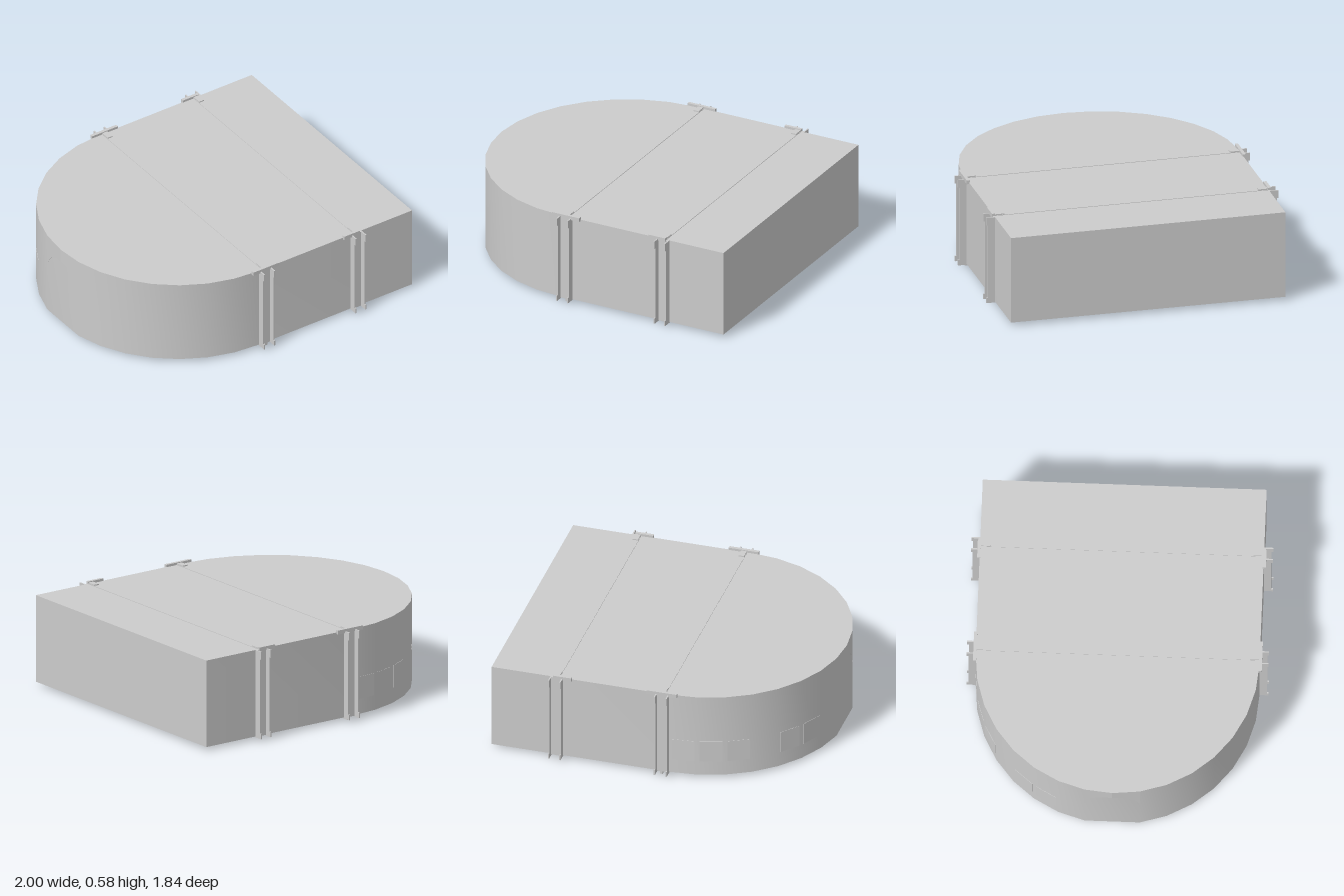
import * as THREE from 'three';
import { toCreasedNormals } from 'three/addons/utils/BufferGeometryUtils.js';

const BOTTOM = 0.02, TOP = 0.57;   // heights of the slab
const CX = -0.13, RX = 0.87, RZ = 0.865; // rounded end
const SEG = 16, STEP = Math.PI / SEG;
const grey = new THREE.MeshStandardMaterial({ color: 0xcccccc });

// Point on the rounded end; angle 0 is at the back (-z), PI at the front
const rim = a => [CX - RX * Math.sin(a), -RZ * Math.cos(a)];

function add(parent, name, geometry) {
  const mesh = new THREE.Mesh(geometry, grey);
  mesh.name = name;
  parent.add(mesh);
  return mesh;
}

// Box given by its limits on each axis
function box(parent, name, [x0, x1], [y0, y1], [z0, z1]) {
  const mesh = add(parent, name, new THREE.BoxGeometry(x1 - x0, y1 - y0, z1 - z0));
  mesh.position.set((x0 + x1) / 2, (y0 + y1) / 2, (z0 + z1) / 2);
  return mesh;
}

// D-shaped slab; the tip is left flat where the doorway stands
function makeBody(group) {
  const shape = new THREE.Shape();
  shape.moveTo(1, RZ);
  for (let i = 0; i <= SEG; i++) {
    if (i === SEG / 2) continue;
    const [x, z] = rim(i * STEP);
    shape.lineTo(x, -z);
  }
  shape.lineTo(1, -RZ);
  const geo = new THREE.ExtrudeGeometry(shape, { depth: TOP - BOTTOM, bevelEnabled: false });
  geo.rotateX(-Math.PI / 2).translate(0, BOTTOM, 0);
  add(group, 'body', toCreasedNormals(geo, 0.5));
}

// Wall above the arched doorway, brought out to the tip of the rounded end
function makeArchWall(group) {
  const [xFlat, z0] = rim((SEG / 2 - 1) * STEP);
  const half = Math.abs(z0), spring = 0.33, rise = 0.15;
  const shape = new THREE.Shape();
  shape.moveTo(0, TOP);
  for (let i = 0; i <= 8; i++) {
    const a = (i / 8) * Math.PI / 2;
    shape.lineTo(half * Math.sin(a), spring + rise * Math.cos(a));
  }
  shape.lineTo(half, TOP);
  const geo = new THREE.ExtrudeGeometry(shape, { depth: 1, bevelEnabled: false });
  const p = geo.attributes.position;
  for (let i = 0; i < p.count; i++) {
    const s = p.getX(i), e = p.getZ(i);
    p.setXYZ(i, xFlat - e * (RX + CX * -1 + xFlat) * (1 - s / half), p.getY(i), s);
  }
  geo.computeVertexNormals();
  for (const side of [1, -1]) add(group, 'archWall', geo).scale.z = side;
}

// Shallow window panels on the rear part of the curve
function makeWindows(group) {
  for (const i of [0, 1, 2, 4, 5]) {
    const [xa, za] = rim(i * STEP), [xb, zb] = rim((i + 1) * STEP);
    const length = Math.hypot(xb - xa, zb - za);
    const pane = add(group, 'windowPanel', new THREE.BoxGeometry(length * 0.82, 0.14, 0.004));
    pane.position.set((xa + xb) / 2, 0.185, (za + zb) / 2);
    pane.rotation.y = -Math.atan2(zb - za, xb - xa);
  }
}

// One end of a frame on the +z side: channel post, gussets and clamp
function makePost(parent, f) {
  const post = new THREE.Group();
  post.name = 'post';
  parent.add(post);
  box(post, 'postWeb', [f.left, f.right], [BOTTOM, TOP], [0.86, 0.875]);
  for (const x of [f.left, f.right]) {
    const thick = [x - 0.004, x + 0.004];
    box(post, 'postFlange', thick, [BOTTOM, TOP], [0.86, 0.91]);
    box(post, 'topGusset', thick, [0.52, TOP], [0.86, 0.92]);
    box(post, 'footGusset', thick, [0.015, 0.05], [0.86, 0.92]);
  }
  const mid = (f.left + f.right) / 2;
  box(post, 'clampBar', f.clamp, [0.56, 0.585], [0.86, 0.88]);
  box(post, 'clampTongue', [mid - 0.018, mid + 0.018], [0.565, 0.58], [0.8, 0.87]);
  box(post, 'floorBar', [f.bar - 0.009, f.bar + 0.009], [f.barBottom, 0.025], f.barSpan);
  return post;
}

export function createModel() {
  const group = new THREE.Group();
  group.name = 'roundEndedBlock';
  makeBody(group);
  makeArchWall(group);
  makeWindows(group);

  const frames = [
    { left: -0.125, right: -0.05, clamp: [-0.18, 0.01], bar: -0.08, barBottom: 0, barSpan: [0.35, 0.87] },
    { left: 0.55, right: 0.622, clamp: [0.49, 0.605], bar: 0.59, barBottom: 0.015, barSpan: [0.1, 0.87] },
  ];
  for (const f of frames) {
    const frame = new THREE.Group();
    frame.name = 'frame';
    group.add(frame);
    for (const side of [1, -1]) makePost(frame, f).scale.z = side;
    // Slim strip across the roof
    const mid = (f.left + f.right) / 2;
    box(frame, 'roofStrip', [mid - 0.02, mid + 0.02], [0.565, 0.573], [-0.86, 0.86]);
  }
  return group;
}
